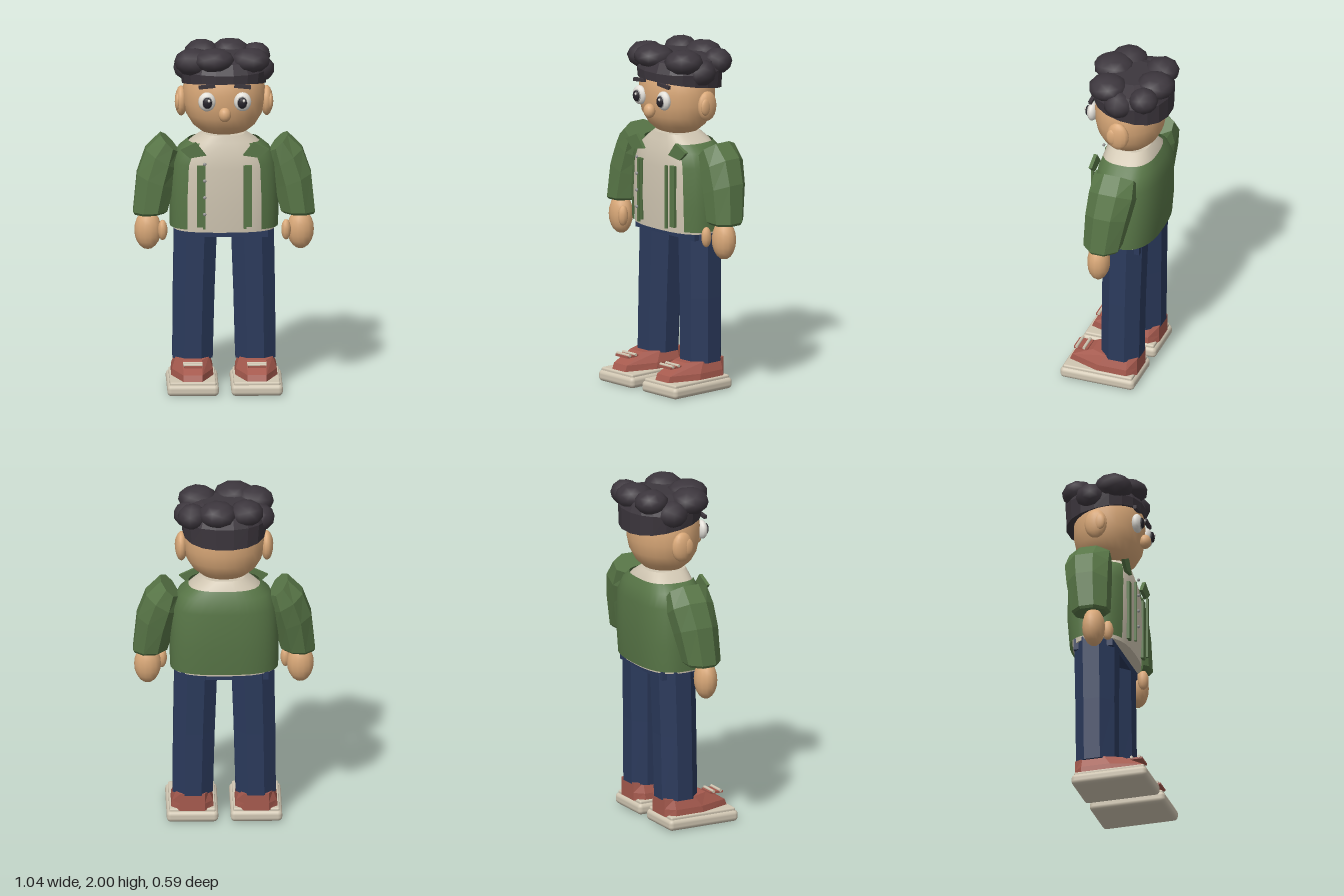
import * as THREE from 'three';
import { RoundedBoxGeometry } from 'three/addons/geometries/RoundedBoxGeometry.js';

const mat = (name, color, side = THREE.FrontSide) => {
  const m = new THREE.MeshStandardMaterial({ color, side });
  m.name = name;
  return m;
};

// Cross-section between a left end (ax, ay) and a right end (bx, by); e < 1 makes it boxier
function ring(n, ax, ay, bx, by, zc, rz, e = 1, start = Math.PI / n, sweep = Math.PI * 2, k = 1 / Math.cos(Math.PI / n)) {
  const pow = v => Math.sign(v) * Math.abs(v) ** e;
  const count = sweep < 6.28 ? n + 1 : n;
  return Array.from({ length: count }, (_, j) => {
    const t = start + sweep * j / n;
    const c = pow(Math.cos(t)) * k, s = pow(Math.sin(t)) * k;
    return [(ax + bx) / 2 + c * (bx - ax) / 2, (ay + by) / 2 + c * (by - ay) / 2, zc + s * rz];
  });
}

// Skin over cross-sections listed from bottom to top
function loft(rings, { closed = true, caps = closed, flat = false } = {}) {
  const n = rings[0].length, pos = rings.flat(), idx = [];
  for (let i = 0; i < rings.length - 1; i++) {
    for (let j = 0; j < (closed ? n : n - 1); j++) {
      const a = i * n + j, b = i * n + (j + 1) % n;
      idx.push(a, a + n, b, b, a + n, b + n);
    }
  }
  if (caps) [rings[0], rings[rings.length - 1]].forEach((r, top) => {
    const base = pos.length;
    pos.push(...r, [0, 1, 2].map(k => r.reduce((sum, p) => sum + p[k], 0) / n));
    for (let j = 0; j < n; j++) {
      const p = base + j, q = base + (j + 1) % n;
      idx.push(base + n, top ? q : p, top ? p : q);
    }
  });
  let g = new THREE.BufferGeometry();
  g.setAttribute('position', new THREE.Float32BufferAttribute(pos.flat(), 3));
  g.setIndex(idx);
  if (flat) g = g.toNonIndexed();
  g.computeVertexNormals();
  return g;
}

export function createModel() {
  const root = new THREE.Group();
  root.name = 'figure';
  const skin = mat('skin', 0xd9a878), hair = mat('hair', 0x3c363d), green = mat('jacket green', 0x587647, THREE.DoubleSide);
  const cream = mat('cream', 0xd0c6b2), navy = mat('denim', 0x2b3a5c), red = mat('shoe red', 0xa65a4e);
  const white = mat('eye white', 0xe2dfd8), dark = mat('pupil', 0x26232a), grey = mat('button grey', 0x9a9a98);

  const add = (name, geo, m, x = 0, y = 0, z = 0) => {
    const o = new THREE.Mesh(geo, m);
    o.name = name;
    o.position.set(x, y, z);
    root.add(o);
    return o;
  };
  const ball = (name, m, x, y, z, rx, ry, rz, seg = 14) => {
    const o = add(name, new THREE.SphereGeometry(1, seg, Math.ceil(seg * 0.7)), m, x, y, z);
    o.scale.set(rx, ry, rz);
    return o;
  };

  // Head
  const headPts = [[0, 1.485], [0.09, 1.488], [0.13, 1.5], [0.18, 1.54], [0.217, 1.6], [0.233, 1.67], [0.236, 1.74], [0.225, 1.83], [0.17, 1.9], [0, 1.93]];
  add('head', new THREE.LatheGeometry(headPts.map(p => new THREE.Vector2(...p)), 24), skin, 0, 0, -0.02).scale.z = 0.86;
  ball('nose', skin, 0, 1.635, 0.193, 0.036, 0.042, 0.034);

  // Hair cap with a rim that drops toward the back
  const capRing = (rx, rz, y) => ring(18, -rx, y, rx, y, -0.04, rz, 0.9, 0, Math.PI * 2, 1);
  const rim = capRing(0.24, 0.225, 0).map(([x, , z]) => [x, 1.772 + 0.17 * (z + 0.04), z]);
  add('hairCap', loft([rim, capRing(0.25, 0.228, 1.86), capRing(0.225, 0.2, 1.92), capRing(0.13, 0.12, 1.955)], { flat: true }), hair);

  // Hair clumps: x, y, z, horizontal radius, vertical radius
  [
    [-0.06, 1.935, 0.105, 0.118, 0.068], [0.15, 1.925, 0.065, 0.113, 0.072], [-0.175, 1.915, 0.055, 0.113, 0.08],
    [-0.125, 1.925, -0.165, 0.1, 0.075], [0.04, 1.925, -0.185, 0.112, 0.075], [0.185, 1.905, -0.165, 0.085, 0.075],
    [0.2, 1.86, -0.02, 0.09, 0.08], [-0.2, 1.86, -0.07, 0.09, 0.08],
  ].forEach(([x, y, z, r, h], i) => {
    const g = new THREE.IcosahedronGeometry(1, 1);
    g.rotateY(i * 0.7);
    add('hairClump', g, hair, x, y, z).scale.set(r, h, r);
  });

  // Shirt
  const bodyRing = (y, rx, front, back, opts = [0, Math.PI * 2]) =>
    ring(28, -rx, y, rx, y, (front + back) / 2, (front - back) / 2, 0.75, ...opts, 1);
  add('shirt', loft([
    [0.93, 0.29, 0.135, -0.205], [1.1, 0.297, 0.145, -0.215], [1.3, 0.285, 0.143, -0.215],
    [1.39, 0.25, 0.13, -0.195], [1.45, 0.18, 0.112, -0.175], [1.49, 0.12, 0.1, -0.14],
  ].map(r => bodyRing(...r))), cream);

  // Open jacket wrapped around the back and sides
  const gap = 0.64, wrap = [Math.PI / 2 + gap, Math.PI * 2 - gap * 2];
  add('jacket', loft([
    [0.945, 0.31, 0.145, -0.222], [1.1, 0.313, 0.153, -0.235], [1.32, 0.3, 0.152, -0.236],
    [1.4, 0.26, 0.138, -0.212], [1.445, 0.205, 0.122, -0.187],
  ].map(r => bodyRing(...r, wrap)), { closed: false }), green);

  // Buttons down the front edge
  for (let i = 0; i < 4; i++) ball('button', grey, -0.115, 1.05 + i * 0.098, 0.187, 0.01, 0.01, 0.008, 8);

  // Hips
  add('hips', new THREE.BoxGeometry(0.5, 0.07, 0.235), navy, 0, 0.925, -0.045);

  for (const s of [-1, 1]) {
    // Ears
    ball('ear', skin, s * 0.245, 1.67, -0.03, 0.036, 0.087, 0.066);
    ball('innerEar', skin, s * 0.265, 1.67, -0.003, 0.017, 0.05, 0.035);

    // Eyes and brows
    ball('eye', white, s * 0.102, 1.708, 0.175, 0.05, 0.056, 0.03);
    ball('iris', grey, s * 0.1, 1.707, 0.196, 0.031, 0.037, 0.012);
    ball('pupil', dark, s * 0.1, 1.707, 0.204, 0.026, 0.032, 0.014);
    ball('eyeGlint', white, s * 0.1 + 0.009, 1.722, 0.217, 0.008, 0.009, 0.005, 8);
    add('brow', new THREE.BoxGeometry(0.095, 0.02, 0.02), hair, s * 0.102, 1.797, 0.175).rotation.z = -s * 0.1;

    // Sleeves: inner x, y, outer x, y, centre z, depth radius
    const sleeve = [
      [0.345, 1.02, 0.512, 1.015, -0.005, 0.09], [0.325, 1.035, 0.52, 1.03, -0.005, 0.105],
      [0.29, 1.17, 0.498, 1.25, -0.025, 0.122], [0.265, 1.28, 0.448, 1.39, -0.04, 0.13], [0.265, 1.38, 0.363, 1.475, -0.04, 0.12],
    ].map(([ix, iy, ox, oy, z, r]) => s > 0 ? ring(8, ix, iy, ox, oy, z, r) : ring(8, -ox, oy, -ix, iy, z, r));
    add('sleeve', loft(sleeve, { flat: true }), green);

    // Hands
    ball('hand', skin, s * 0.437, 0.925, 0.015, 0.077, 0.115, 0.065);
    ball('thumb', skin, s * 0.353, 0.935, 0.075, 0.028, 0.06, 0.032, 10);

    // Jacket front edges and collar points
    add('placket', new THREE.BoxGeometry(0.04, 0.36, 0.018), green, s * 0.138, 1.145, 0.138);
    add('frontTrim', new THREE.BoxGeometry(0.016, 0.37, 0.014), green, s * 0.117, 1.145, 0.17);
    const flap = new THREE.Shape([[0.105, 1.385], [0.2, 1.37], [0.255, 1.42], [0.165, 1.462]].map(([x, y]) => new THREE.Vector2(s * x, y)));
    add('collarPoint', new THREE.ExtrudeGeometry(flap, { depth: 0.02, bevelEnabled: false }), green, 0, 0, 0.125);

    // Trouser legs
    const leg = [[0.17, 0.065, 0.295, -0.038, 0.115], [0.55, 0.055, 0.292, -0.042, 0.116], [0.95, 0.04, 0.285, -0.048, 0.12]]
      .map(([y, i, o, z, r]) => s > 0 ? ring(8, i, y, o, y, z, r) : ring(8, -o, y, -i, y, z, r));
    add('trouserLeg', loft(leg, { flat: true }), navy);

    // Shoes: soles, tapered uppers and laces
    const x = s * 0.183;
    add('sole', new RoundedBoxGeometry(0.295, 0.066, 0.45, 3, 0.025), cream, x, 0.037, 0.07);
    add('welt', new RoundedBoxGeometry(0.265, 0.03, 0.42, 2, 0.01), cream, x, 0.07, 0.07);
    const upper = [[0.075, 0.122, 0.08, 0.268], [0.12, 0.117, 0.07, 0.25], [0.18, 0.095, 0.03, 0.125]].map(([y, w, mid, toe]) =>
      [[w, -0.1], [w, mid], [0.055, toe], [-0.055, toe], [-w, mid], [-w, -0.1], [-0.07, -0.15], [0.07, -0.15]].map(([px, pz]) => [px, y, pz]));
    add('shoeUpper', loft(upper, { flat: true }), red, x, 0, 0);
    add('shoeTongue', new THREE.BoxGeometry(0.1, 0.012, 0.085), red, x, 0.165, 0.2);
    for (const z of [0.18, 0.225]) {
      const lace = new THREE.CylinderGeometry(0.009, 0.009, 0.11, 8);
      lace.rotateZ(Math.PI / 2);
      add('lace', lace, cream, x, 0.173, z);
    }
  }
  return root;
}
